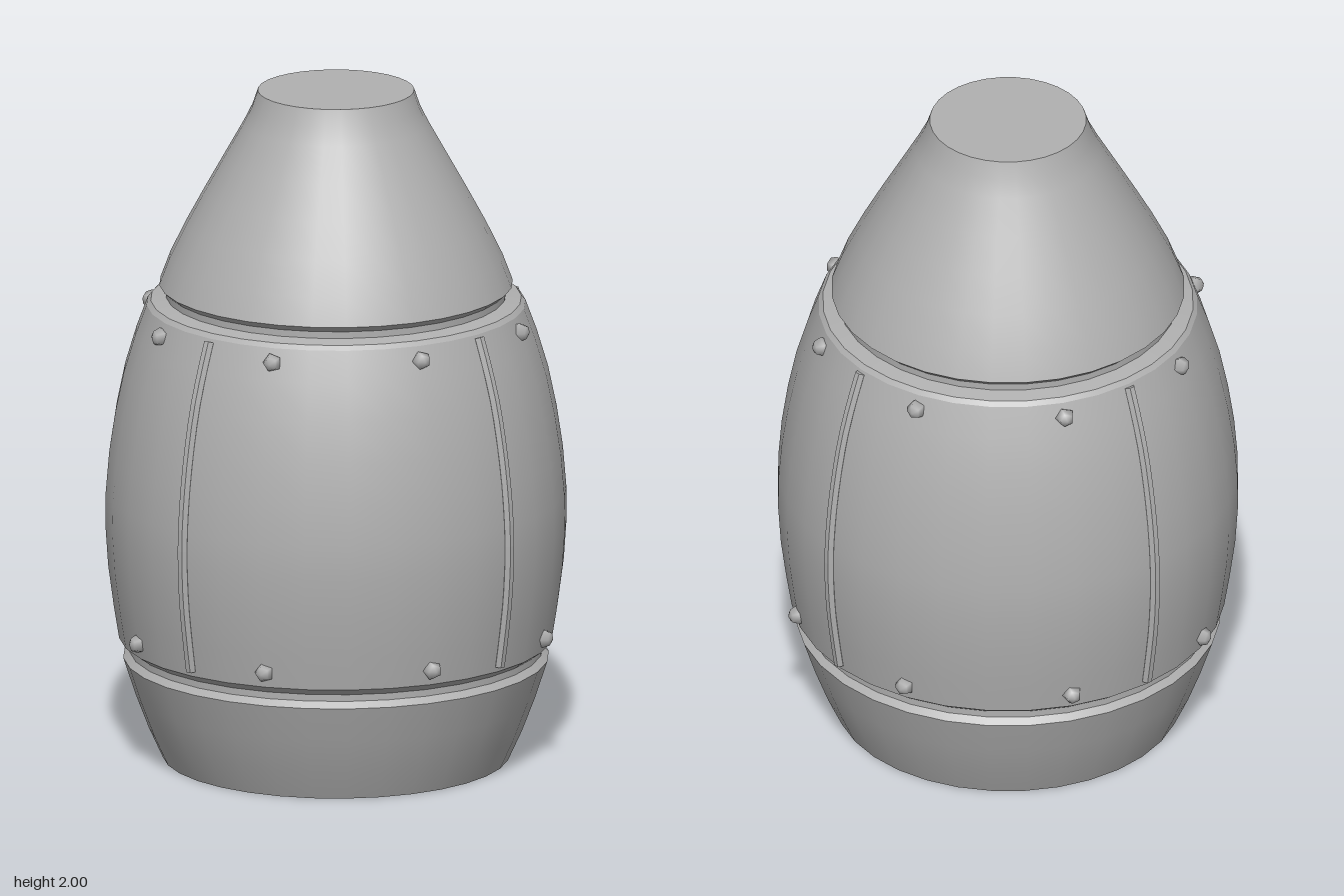
import * as THREE from 'three';

const SIDES = 32;
const steel = new THREE.MeshStandardMaterial({ color: 0xb0b0b0 });
steel.name = 'grey steel';

// Barrel profile, radius against height
const bodyProfile = [
  [0.632, 0.36], [0.648, 0.46], [0.664, 0.58], [0.672, 0.7], [0.671, 0.8], [0.661, 0.92],
  [0.643, 1.04], [0.618, 1.16], [0.585, 1.27], [0.552, 1.36],
];

function bodyRadius(y) {
  for (let i = 1; i < bodyProfile.length; i++) {
    const [r0, y0] = bodyProfile[i - 1], [r1, y1] = bodyProfile[i];
    if (y <= y1) return r0 + (r1 - r0) * (y - y0) / (y1 - y0);
  }
  return bodyProfile.at(-1)[0];
}

function add(parent, name, geometry) {
  const mesh = new THREE.Mesh(geometry, steel);
  mesh.name = name;
  parent.add(mesh);
  return mesh;
}

// One smooth surface of revolution; separate calls keep the edges between them sharp
function turned(parent, name, points) {
  return add(parent, name, new THREE.LatheGeometry(points.map(p => new THREE.Vector2(...p)), SIDES));
}

// Several hard-edged rings in a row
function turnedSteps(parent, name, points) {
  const group = new THREE.Group();
  group.name = name;
  for (let i = 1; i < points.length; i++) turned(group, name + i, [points[i - 1], points[i]]);
  parent.add(group);
}

export function createModel() {
  const model = new THREE.Group();
  model.name = 'rivetedBarrel';

  // Base, lower groove, barrel, upper groove, nose
  turned(model, 'bottomCap', [[0, 0], [0.505, 0]]);
  turned(model, 'base', [[0.505, 0], [0.546, 0.09], [0.584, 0.19], [0.62, 0.3]]);
  turnedSteps(model, 'lowerGroove', [[0.62, 0.3], [0.602, 0.318], [0.602, 0.338], [0.632, 0.36]]);
  turned(model, 'barrel', bodyProfile);
  turnedSteps(model, 'upperGroove', [[0.552, 1.36], [0.54, 1.373], [0.495, 1.382], [0.495, 1.402], [0.515, 1.42]]);
  turned(model, 'nose', [
    [0.515, 1.42], [0.485, 1.5], [0.436, 1.6], [0.382, 1.7], [0.326, 1.8], [0.27, 1.9], [0.245, 1.95], [0.228, 2],
  ]);
  turned(model, 'topCap', [[0.228, 2], [0, 2]]);

  // Four curved seam ribs with a hexagonal section
  const path = new THREE.CatmullRomCurve3(Array.from({ length: 11 }, (_, i) => {
    const y = 0.376 + i * 0.0975;
    return new THREE.Vector3(0, y, bodyRadius(y));
  }));
  const hexagon = new THREE.Shape(Array.from({ length: 6 }, (_, i) => {
    const a = i * Math.PI / 3;
    return new THREE.Vector2(0.016 * Math.cos(a), 0.016 * Math.sin(a));
  }));
  const ribGeometry = new THREE.ExtrudeGeometry(hexagon, { steps: 16, extrudePath: path, bevelEnabled: false });
  for (let i = 0; i < 4; i++) add(model, 'seamRib', ribGeometry).rotation.y = i * Math.PI / 2;

  // Two rings of eight five-sided rivets, pointing outward
  const rivetGeometry = new THREE.SphereGeometry(0.029, 5, 4).rotateX(Math.PI / 2);
  for (const y of [0.405, 1.32]) {
    for (let i = 0; i < 8; i++) {
      const a = (i + 0.5) * Math.PI / 4;
      const r = bodyRadius(y);
      const rivet = add(model, 'rivet', rivetGeometry);
      rivet.position.set(r * Math.sin(a), y, r * Math.cos(a));
      rivet.rotation.y = a;
    }
  }
  return model;
}
